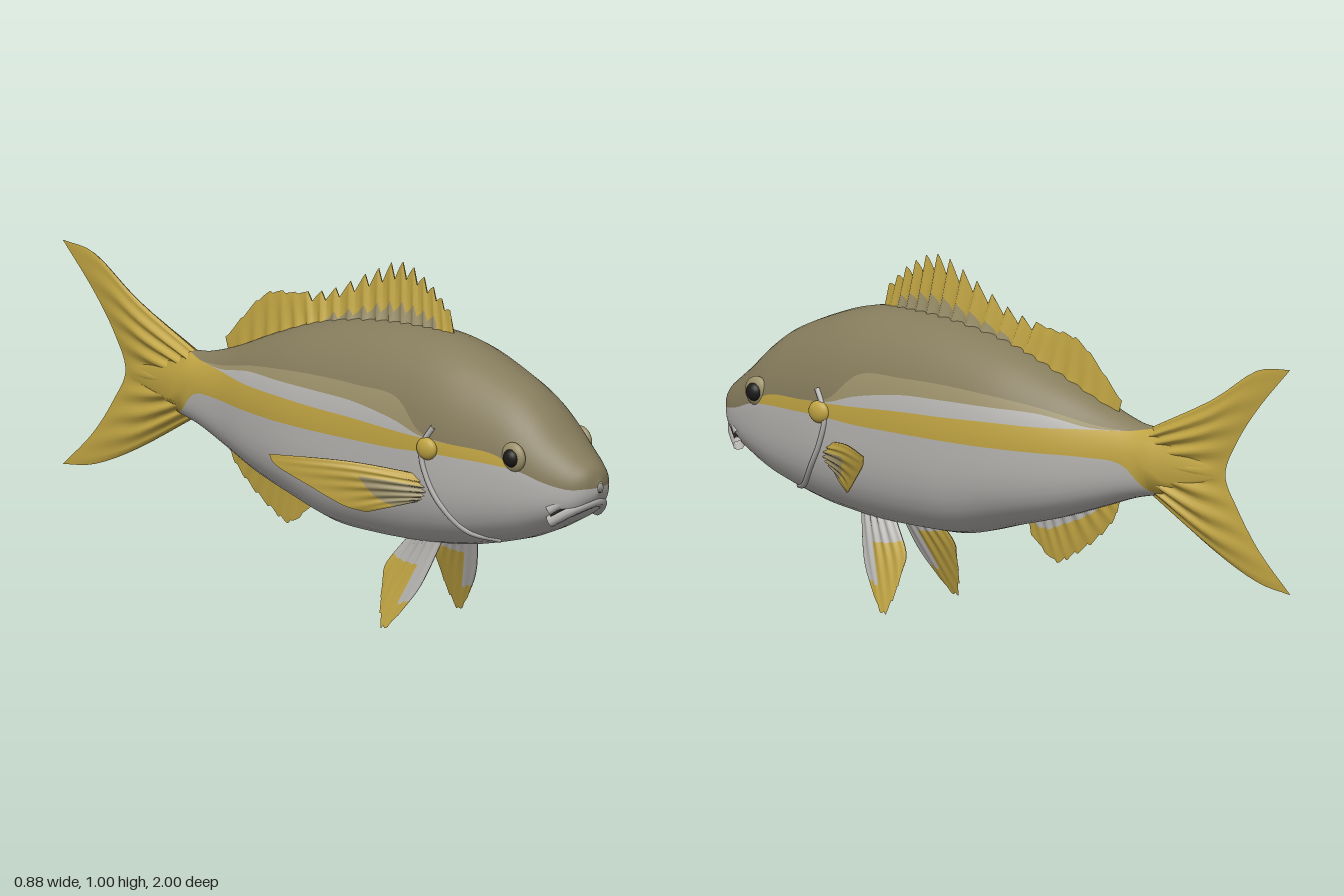
import * as THREE from 'three';

const paint = (name, color) => {
  const m = new THREE.MeshStandardMaterial({ color, side: THREE.DoubleSide });
  m.name = name;
  return m;
};
const belly = paint('silver belly', 0xb5b3b0);
const yellow = paint('yellow', 0xbfa342);
const tan = paint('tan flank', 0x9a8f69);
const olive = paint('olive back', 0x857b5c);
const black = paint('eye black', 0x1b1a19);
const PALETTE = [belly, yellow, tan, olive];

// Body stations: z, top, bottom, half width, stripe low, stripe high, pale band top, tan band top
const STATIONS = [
  [1.0, 0.505, 0.475, 0.01, 0.49, 0.49, 0.49, 0.49],
  [0.985, 0.54, 0.445, 0.05, 0.49, 0.49, 0.49, 0.49],
  [0.95, 0.57, 0.405, 0.085, 0.49, 0.49, 0.49, 0.49],
  [0.89, 0.62, 0.37, 0.115, 0.505, 0.505, 0.505, 0.505],
  [0.82, 0.685, 0.335, 0.14, 0.53, 0.53, 0.53, 0.53],
  [0.74, 0.74, 0.305, 0.16, 0.54, 0.57, 0.57, 0.57],
  [0.6, 0.80, 0.27, 0.185, 0.545, 0.58, 0.58, 0.58],
  [0.5, 0.83, 0.255, 0.195, 0.545, 0.585, 0.59, 0.60],
  [0.4, 0.843, 0.245, 0.198, 0.54, 0.59, 0.62, 0.68],
  [0.25, 0.843, 0.242, 0.2, 0.54, 0.60, 0.645, 0.69],
  [0.1, 0.825, 0.25, 0.197, 0.54, 0.605, 0.65, 0.69],
  [-0.05, 0.79, 0.292, 0.182, 0.54, 0.61, 0.65, 0.68],
  [-0.2, 0.735, 0.335, 0.147, 0.54, 0.61, 0.645, 0.66],
  [-0.34, 0.675, 0.385, 0.1, 0.54, 0.615, 0.62, 0.63],
  [-0.45, 0.64, 0.425, 0.07, 0.53, 0.62, 0.62, 0.62],
  [-0.53, 0.63, 0.445, 0.053, 0.46, 0.63, 0.63, 0.63],
  [-0.62, 0.605, 0.465, 0.035, 0.46, 0.61, 0.61, 0.61],
  [-0.74, 0.56, 0.51, 0.008, 0.5, 0.57, 0.57, 0.57],
];
const column = (k) => new THREE.CatmullRomCurve3(
  STATIONS.map((s) => new THREE.Vector3(s[k], s[k + 1], s[k + 2] ?? 0)), false, 'catmullrom', 0.5);
const curves = [column(0), column(3), column(6)];
const station = (u) => curves.flatMap((c) => c.getPoint(THREE.MathUtils.clamp(u, 0, 1)).toArray());

// Point on the body: u runs nose to tail, a runs round the section from the keel
function bodyPoint(u, a) {
  const [z, top, low, width] = station(u);
  const s = Math.sin(a), c = Math.cos(a);
  const reach = s > 0 ? Math.abs(c) : Math.pow(Math.max(0, 1 - Math.pow(-s, 3)), 0.4);
  return new THREE.Vector3(Math.sign(c) * width * reach, (top + low) / 2 + s * (top - low) / 2, z);
}
const angleAt = (st, y) => Math.asin(THREE.MathUtils.clamp((2 * y - st[1] - st[2]) / (st[1] - st[2]), -1, 1));

// Left flank point at a given z and y
function flank(z, y) {
  let lo = 0, hi = 1;
  for (let i = 0; i < 30; i++) {
    const mid = (lo + hi) / 2;
    if (station(mid)[0] > z) lo = mid; else hi = mid;
  }
  return bodyPoint(lo, angleAt(station(lo), y));
}

// Grid surface with a palette slot chosen per cell
function grid(nu, nv, point, pick, normal) {
  const pos = [], nor = [], cells = PALETTE.map(() => []);
  for (let i = 0; i <= nu; i++) for (let j = 0; j <= nv; j++) {
    pos.push(...point(i, j).toArray());
    if (normal) nor.push(...normal(i, j).toArray());
    if (i < nu && j < nv) {
      const p = i * (nv + 1) + j, q = p + nv + 1;
      cells[pick(i, j)].push(p, q, p + 1, q, q + 1, p + 1);
    }
  }
  const g = new THREE.BufferGeometry();
  g.setAttribute('position', new THREE.Float32BufferAttribute(pos, 3));
  g.setIndex(cells.flat());
  let start = 0;
  cells.forEach((c, k) => { if (c.length) g.addGroup(start, c.length, k); start += c.length; });
  if (normal) g.setAttribute('normal', new THREE.Float32BufferAttribute(nor, 3));
  else g.computeVertexNormals();
  return g;
}

function buildBody() {
  const rows = [10, 3, 2, 2, 10], slots = [0, 1, 0, 2, 3], nu = 110;
  const bands = rows.flatMap((n, k) => Array(n).fill(slots[k]));
  const rings = [];
  for (let i = 0; i <= nu; i++) {
    const st = station(i / nu);
    const lim = [-Math.PI / 2, ...[4, 5, 6, 7].map((k) => angleAt(st, st[k])), Math.PI / 2];
    for (let k = 1; k < 6; k++) lim[k] = Math.max(lim[k], lim[k - 1]);
    const half = rows.flatMap((n, k) => Array.from({ length: n }, (_, r) => lim[k] + (lim[k + 1] - lim[k]) * r / n));
    rings.push([...half, Math.PI / 2, ...half.map((a) => Math.PI - a).reverse()]);
  }
  const n = bands.length, e = 0.002;
  const normal = (i, j) => {
    const u = i / nu, a = rings[i][j];
    const du = bodyPoint(u + e, a).sub(bodyPoint(u - e, a));
    const da = bodyPoint(u, a + 0.02).sub(bodyPoint(u, a - 0.02));
    return du.cross(da).normalize();
  };
  return grid(nu, 2 * n, (i, j) => bodyPoint(i / nu, rings[i][j]),
    (i, j) => bands[j < n ? j : 2 * n - 1 - j], normal);
}

// Fin lofted from root row to edge row, a lens in thickness, with rays and a notched edge
function fin(name, rows, { thick, dir = [1, 0, 0], rays = 10, notch = () => 0, pick = () => 1 }) {
  const group = new THREE.Group();
  group.name = name;
  const lines = rows.map((r) => new THREE.CatmullRomCurve3(r.map((p) => new THREE.Vector3(...p)), false, 'catmullrom', 0.5));
  const nu = rays * 6, nv = 12, out = new THREE.Vector3(...dir).normalize();
  for (const side of [1, -1]) {
    const spans = [];
    for (let i = 0; i <= nu; i++) spans.push(new THREE.CatmullRomCurve3(lines.map((l) => l.getPoint(i / nu)), false, 'catmullrom', 0.5));
    const point = (i, j) => {
      const u = i / nu, v = j / nv;
      const ripple = 1 + 0.3 * Math.cos(2 * Math.PI * rays * u);
      const t = thick * (1 - v) * Math.sqrt(Math.max(0, Math.sin(Math.PI * u))) * ripple + 0.001;
      return spans[i].getPoint(v * (1 - notch(u) * ((i % 6) / 6))).addScaledVector(out, side * t);
    };
    const mesh = new THREE.Mesh(grid(nu, nv, point, (i, j) => pick(i / nu, j / nv)), PALETTE);
    mesh.name = name + (side > 0 ? 'LeftFace' : 'RightFace');
    group.add(mesh);
  }
  return group;
}
const flat = (pts) => pts.map(([z, y]) => [0, y, z]);

function tube(name, pts, r, mat) {
  const curve = new THREE.CatmullRomCurve3(pts);
  const m = new THREE.Mesh(new THREE.TubeGeometry(curve, 40, r, 8), mat);
  m.name = name;
  return m;
}
function ball(name, r, at, scale, mat) {
  const m = new THREE.Mesh(new THREE.SphereGeometry(r, 24, 16), mat);
  m.position.set(...at);
  m.scale.set(...scale);
  m.name = name;
  return m;
}

export function createModel() {
  const fish = new THREE.Group();
  fish.name = 'fish';
  const body = new THREE.Mesh(buildBody(), PALETTE);
  body.name = 'body';
  fish.add(body);

  // Fins on the centre line
  fish.add(fin('dorsalFin', [
    flat([[0.46, 0.82], [0.38, 0.82], [0.28, 0.82], [0.16, 0.81], [0.02, 0.78], [-0.10, 0.75], [-0.24, 0.69], [-0.38, 0.64]]),
    flat([[0.44, 0.90], [0.36, 0.97], [0.26, 1.01], [0.14, 0.96], [0, 0.89], [-0.13, 0.86], [-0.25, 0.835], [-0.395, 0.69]]),
  ], { thick: 0.035, rays: 18, notch: (u) => (u < 0.66 ? 0.25 : 0.06),
    pick: (u, v) => (u > 0.1 && u < 0.6 && v < 0.55 ? 2 : 1) }));
  fish.add(fin('analFin', [
    flat([[-0.06, 0.32], [-0.12, 0.33], [-0.18, 0.35], [-0.25, 0.37], [-0.32, 0.40], [-0.38, 0.43]]),
    flat([[-0.07, 0.265], [-0.155, 0.2], [-0.22, 0.225], [-0.30, 0.28], [-0.365, 0.345], [-0.39, 0.405]]),
  ], { thick: 0.02, rays: 9, notch: () => 0.08, pick: (u, v) => (v < 0.45 && u < 0.75 ? 0 : 1) }));
  fish.add(fin('tailFin', [
    flat([[-0.5, 0.63], [-0.5, 0.6], [-0.5, 0.57], [-0.5, 0.54], [-0.5, 0.51], [-0.5, 0.48], [-0.5, 0.447]]),
    flat([[-0.72, 0.74], [-0.69, 0.67], [-0.65, 0.6], [-0.63, 0.537], [-0.65, 0.47], [-0.69, 0.39], [-0.72, 0.32]]),
    flat([[-0.88, 0.845], [-0.80, 0.72], [-0.735, 0.62], [-0.705, 0.536], [-0.735, 0.455], [-0.80, 0.36], [-0.88, 0.25]]),
    flat([[-1, 0.865], [-0.89, 0.745], [-0.81, 0.635], [-0.767, 0.535], [-0.81, 0.445], [-0.89, 0.335], [-1, 0.23]]),
  ], { thick: 0.035, rays: 8 }));

  // Paired parts
  for (const s of [1, -1]) {
    const tag = s > 0 ? 'left' : 'right';
    const mir = (pts) => pts.map(([x, y, z]) => [s * x, y, z]);
    fish.add(fin(tag + 'PectoralFin', [
      mir([[0.175, 0.475, 0.5], [0.175, 0.455, 0.51], [0.175, 0.435, 0.51], [0.175, 0.415, 0.50], [0.175, 0.40, 0.49]]),
      mir([[0.30, 0.51, 0.34], [0.29, 0.48, 0.355], [0.27, 0.44, 0.375], [0.245, 0.405, 0.40], [0.22, 0.385, 0.44]]),
      mir([[0.438, 0.527, 0.165], [0.425, 0.495, 0.18], [0.37, 0.44, 0.25], [0.31, 0.385, 0.325], [0.265, 0.365, 0.37]]),
    ], { thick: 0.014, dir: [s * 0.75, -0.2, 0.6], rays: 6, pick: (u, v) => (u > 0.3 && v < 0.5 ? 2 : 1) }));
    const pelvic = (pts) => mir(pts.map(([z, y]) => [0.075 + 0.32 * (0.26 - y), y, z]));
    fish.add(fin(tag + 'PelvicFin', [
      pelvic([[0.48, 0.27], [0.44, 0.27], [0.40, 0.27], [0.36, 0.27]]),
      pelvic([[0.435, 0.14], [0.39, 0.15], [0.34, 0.16], [0.295, 0.18]]),
      pelvic([[0.375, 0.05], [0.33, 0.004], [0.305, 0.06], [0.295, 0.13]]),
    ], { thick: 0.016, rays: 5, notch: () => 0.05, pick: (u, v) => (v < 0.3 || (u < 0.3 && v < 0.75) ? 0 : 1) }));

    // Eye in its socket rim
    fish.add(ball(tag + 'EyeRim', 0.042, [s * 0.136, 0.567, 0.8], [0.45, 1, 1], tan));
    fish.add(ball(tag + 'Eye', 0.026, [s * 0.146, 0.567, 0.802], [0.8, 1, 1], black));

    // Gill cover edge and its flap
    const edge = [[0.545, 0.62], [0.52, 0.58], [0.51, 0.54], [0.53, 0.47], [0.57, 0.40], [0.63, 0.33], [0.7, 0.305]]
      .map(([z, y]) => flank(z, y)).map((p) => p.setX(p.x * s));
    fish.add(tube(tag + 'GillEdge', edge, 0.008, belly));
    fish.add(ball(tag + 'GillFlap', 0.035, [s * 0.194, 0.558, 0.53], [0.5, 0.9, 1], yellow));
  }

  // Mouth
  const lip = (x, y, z, dx, dy, dz) => [-1, -0.62, 0, 0.62, 1].map((k) => {
    const f = Math.pow(Math.abs(k), 2);
    return new THREE.Vector3(x * k + dx * k, y - dy * f, z - dz * f);
  });
  fish.add(tube('upperLip', lip(0.1, 0.485, 0.972, 0, 0.06, 0.075), 0.015, belly));
  fish.add(tube('mouthLine', lip(0.1, 0.467, 0.984, 0, 0.055, 0.078), 0.006, black));
  fish.add(tube('lowerLip', lip(0.098, 0.448, 0.978, 0, 0.055, 0.08), 0.017, belly));
  return fish;
}
